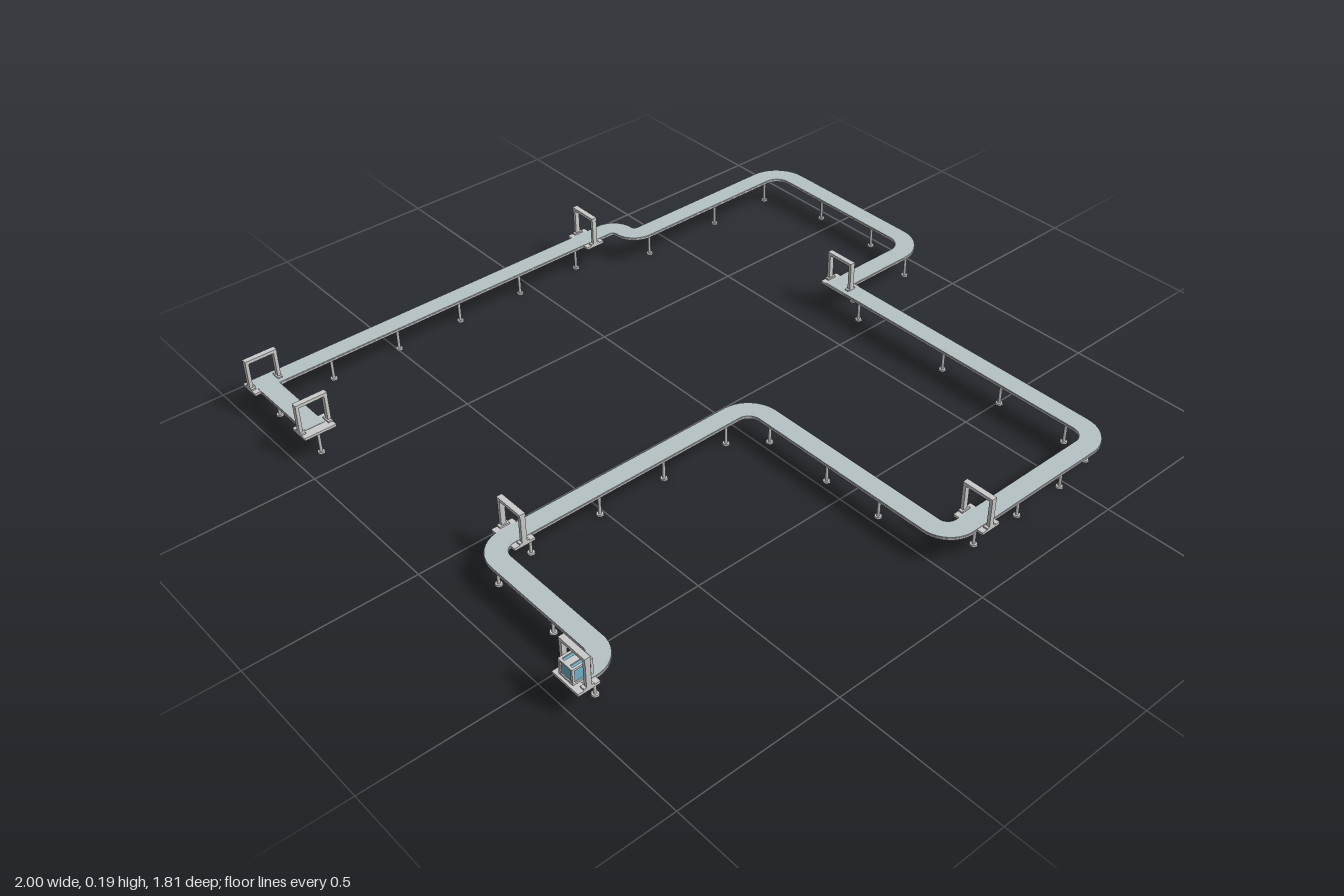
import * as THREE from 'three';

const grey = new THREE.MeshStandardMaterial({ color: 0xcccccc });
const beltMat = new THREE.MeshStandardMaterial({ color: 0xb7c3c6 });
const blue = new THREE.MeshStandardMaterial({ color: 0x6fb3cc });
const teal = new THREE.MeshStandardMaterial({ color: 0x4fa59a });

// Corners of the centre line: x, z, bend radius
const PATH = [
  [-0.97, 0.61, 0], [-0.87, 0.61, 0.06], [-0.87, 0.12, 0.065], [0.025, 0.12, 0.07],
  [0.025, 0.855, 0.06], [0.635, 0.855, 0.07], [0.635, -0.14, 0], [0.97, -0.14, 0.08],
  [0.97, -0.77, 0.08], [0.335, -0.77, 0.045], [0.335, -0.86, 0.045],
  [-0.93, -0.86, 0], [-0.93, -0.59, 0],
];

// Centre line with every bend turned into an arc
function centreLine() {
  const pts = [];
  PATH.forEach(([x, z, r], i) => {
    const p = new THREE.Vector2(x, -z);
    if (!r) { pts.push(p); return; }
    const at = (k) => new THREE.Vector2(PATH[k][0], -PATH[k][1]);
    const a = at(i - 1).sub(p).normalize();
    const b = at(i + 1).sub(p).normalize();
    const c = p.clone().addScaledVector(a, r).addScaledVector(b, r);
    for (let k = 0; k <= 10; k++) {
      const t = (k / 10) * Math.PI / 2;
      pts.push(c.clone().addScaledVector(b, -r * Math.cos(t)).addScaledVector(a, -r * Math.sin(t)));
    }
  });
  // drop doubled points where two arcs meet
  return pts.filter((p, i) => !i || p.distanceTo(pts[i - 1]) > 1e-4);
}

// Ribbon of given width along the centre line, with mitred joints
function ribbon(line, width, y, height) {
  const left = [], right = [];
  line.forEach((p, i) => {
    const d0 = p.clone().sub(line[Math.max(i - 1, 0)]).normalize();
    const d1 = line[Math.min(i + 1, line.length - 1)].clone().sub(p).normalize();
    if (i === 0) d0.copy(d1);
    if (i === line.length - 1) d1.copy(d0);
    const n = new THREE.Vector2(-d0.y - d1.y, d0.x + d1.x).normalize();
    const off = width / 2 / (n.x * -d0.y + n.y * d0.x);
    left.push(p.clone().addScaledVector(n, off));
    right.unshift(p.clone().addScaledVector(n, -off));
  });
  const geo = new THREE.ExtrudeGeometry(new THREE.Shape([...left, ...right]), { depth: height, bevelEnabled: false });
  return geo.rotateX(-Math.PI / 2).translate(0, y, 0);
}

function add(parent, name, geo, mat, x = 0, y = 0, z = 0) {
  const m = new THREE.Mesh(geo, mat);
  m.name = name;
  m.position.set(x, y, z);
  parent.add(m);
  return m;
}
const box = (w, h, d) => new THREE.BoxGeometry(w, h, d);

// Portal frame over the belt, which runs along local x
function gate(x, z, turned) {
  const g = new THREE.Group();
  g.name = 'gate';
  add(g, 'gateBase', box(0.065, 0.008, 0.098), grey, 0, 0.087, 0);
  for (const s of [-1, 1]) {
    add(g, 'gatePost', box(0.015, 0.094, 0.01), grey, 0, 0.136, s * 0.044);
    add(g, 'postFoot', box(0.03, 0.005, 0.014), grey, 0, 0.0935, s * 0.042);
  }
  add(g, 'gateBeam', box(0.017, 0.01, 0.098), grey, 0, 0.181, 0);
  add(g, 'gateStrip', box(0.008, 0.003, 0.07), teal, 0, 0.1745, 0);
  g.position.set(x, 0, z);
  if (turned) g.rotation.y = Math.PI / 2;
  return g;
}

// Column with foot plate and head plate
function leg(x, z) {
  const g = new THREE.Group();
  g.name = 'leg';
  add(g, 'legFoot', new THREE.CylinderGeometry(0.01, 0.011, 0.005, 12), grey, 0, 0.0025, 0);
  add(g, 'legColumn', new THREE.CylinderGeometry(0.0045, 0.0045, 0.08, 10), grey, 0, 0.043, 0);
  add(g, 'legHead', box(0.018, 0.004, 0.018), grey, 0, 0.081, 0);
  g.position.set(x, 0, z);
  return g;
}

// Crate waiting under the first gate
function crate(x, z) {
  const g = new THREE.Group();
  g.name = 'crate';
  add(g, 'crateBody', box(0.054, 0.044, 0.046), blue, 0, 0.025, 0);
  for (const sx of [-1, 1]) {
    for (const sz of [-1, 1]) add(g, 'crateCorner', box(0.007, 0.05, 0.007), grey, sx * 0.0265, 0.025, sz * 0.023);
  }
  for (const y of [0.003, 0.047]) {
    for (const s of [-1, 1]) {
      add(g, 'crateRail', box(0.06, 0.006, 0.007), grey, 0, y, s * 0.023);
      add(g, 'crateRail', box(0.007, 0.006, 0.053), grey, s * 0.0265, y, 0);
    }
  }
  add(g, 'crateLid', box(0.05, 0.004, 0.02), grey, 0, 0.048, 0);
  g.position.set(x, 0.102, z);
  return g;
}

export function createModel() {
  const model = new THREE.Group();
  model.name = 'conveyor';

  // Frame and belt
  const line = centreLine();
  add(model, 'conveyorFrame', ribbon(line, 0.062, 0.083, 0.006), grey);
  add(model, 'conveyorBelt', ribbon(line, 0.06, 0.089, 0.003), beltMat);

  // Gates
  [[-0.967, 0.61], [-0.785, 0.12], [0.13, 0.855], [0.635, -0.14], [0.217, -0.86],
    [-0.93, -0.86, true], [-0.93, -0.593, true]].forEach(([x, z, t]) => model.add(gate(x, z, t)));

  // Legs
  [[-0.92, 0.615], [-0.87, 0.39], [-0.87, 0.165], [-0.74, 0.125], [-0.515, 0.125], [-0.295, 0.125],
    [-0.07, 0.125], [0.025, 0.2], [0.025, 0.424], [0.025, 0.617], [0.13, 0.855], [0.3, 0.855],
    [0.475, 0.855], [0.615, 0.83], [0.635, 0.74], [0.635, 0.506], [0.635, 0.288], [0.635, -0.056],
    [0.695, -0.138], [0.92, -0.133], [0.967, -0.327], [0.967, -0.555], [0.905, -0.767],
    [0.68, -0.767], [0.4, -0.767], [0.17, -0.857], [-0.05, -0.857], [-0.275, -0.857],
    [-0.495, -0.857], [-0.72, -0.857], [-0.925, -0.81], [-0.925, -0.588],
  ].forEach(([x, z]) => model.add(leg(x, z)));

  model.add(crate(-0.968, 0.613));
  return model;
}
